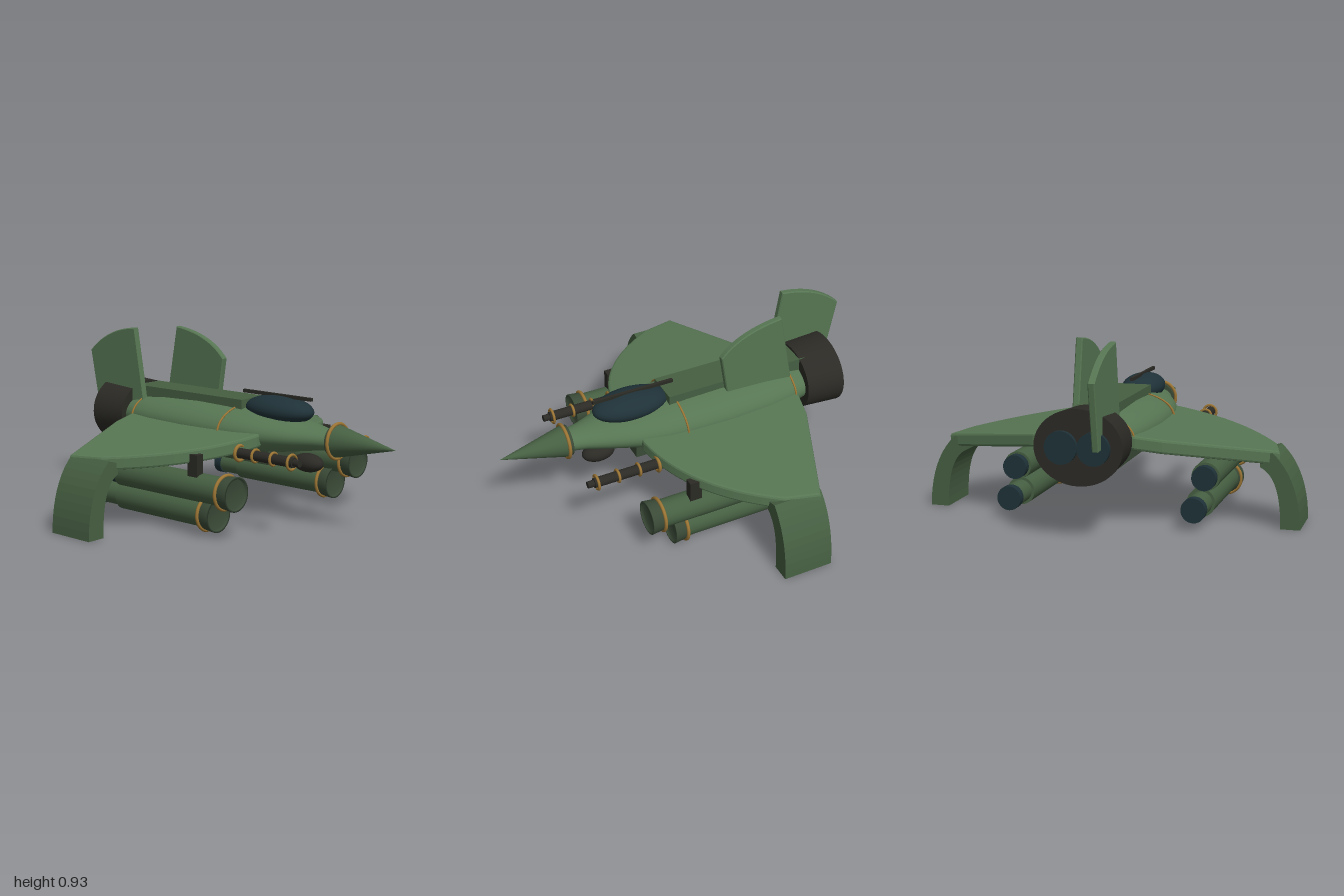
import * as THREE from 'three';

const mat = (color) => new THREE.MeshStandardMaterial({ color, side: THREE.DoubleSide });
const green = mat(0x567552), midGreen = mat(0x465f42), deepGreen = mat(0x3a4a37);
const dark = mat(0x2b2a25), gold = mat(0x9a7434), glass = mat(0x1f3238);

const AXIS = 0.455; // height of the fuselage centre line

export function createModel() {
  const model = new THREE.Group();

  const add = (name, geo, material, x = 0, y = 0, z = 0) => {
    const mesh = new THREE.Mesh(geo, material);
    mesh.name = name;
    mesh.position.set(x, y, z);
    model.add(mesh);
    return mesh;
  };
  // Box given by its ranges on each axis
  const box = (name, m, x0, x1, y0, y1, z0, z1) =>
    add(name, new THREE.BoxGeometry(x1 - x0, y1 - y0, z1 - z0), m, (x0 + x1) / 2, (y0 + y1) / 2, (z0 + z1) / 2);
  // Cylinder lying along z, from zFront (radius rf) to zBack (radius rb)
  const rod = (name, m, x, y, zFront, zBack, rf, rb = rf, seg = 32) =>
    add(name, new THREE.CylinderGeometry(rf, rb, zFront - zBack, seg).rotateX(Math.PI / 2), m, x, y, (zFront + zBack) / 2);
  const ring = (name, x, y, z, r, tube) => add(name, new THREE.TorusGeometry(r, tube, 10, 40), gold, x, y, z);
  const ball = (name, m, x, y, z, rx, ry, rz) =>
    add(name, new THREE.SphereGeometry(1, 32, 20).scale(rx, ry, rz), m, x, y, z);

  // Fuselage: elliptical sections [z, half width, half height]
  const sections = [
    [-0.7, 0.165, 0.1], [-0.6, 0.19, 0.11], [-0.45, 0.215, 0.121], [-0.2, 0.23, 0.128], [0.0, 0.225, 0.123],
    [0.15, 0.215, 0.115], [0.3, 0.185, 0.1], [0.45, 0.132, 0.076], [0.56, 0.088, 0.058], [0.65, 0.065, 0.05],
  ];
  const n = sections.length - 1;
  const hull = new THREE.CylinderGeometry(1, 1, n, 48, n).rotateX(Math.PI / 2);
  const p = hull.attributes.position;
  for (let i = 0; i < p.count; i++) {
    const [z, w, h] = sections[Math.round(p.getZ(i) + n / 2)];
    p.setXYZ(i, p.getX(i) * w, p.getY(i) * h, z);
  }
  hull.computeVertexNormals();
  add('fuselage', hull, green, 0, AXIS, 0);

  box('spine', midGreen, -0.09, 0.09, 0.45, 0.612, -0.7, 0.1);
  box('belly', deepGreen, -0.11, 0.11, 0.3, 0.4, -0.69, 0.3);
  ball('chinPod', dark, 0, 0.32, 0.47, 0.055, 0.048, 0.09);

  // Nose
  rod('noseBase', deepGreen, 0, AXIS, 0.66, 0.63, 0.08);
  rod('noseCone', midGreen, 0, AXIS, 1.0, 0.655, 0.001, 0.083, 40);
  ring('noseRing', 0, AXIS, 0.655, 0.088, 0.009);

  // Bands around the fuselage
  ring('frontBand', 0, AXIS, 0.055, 1, 0.03).scale.set(0.228, 0.123, 0.17);
  ring('rearBand', 0, AXIS, -0.6, 1, 0.03).scale.set(0.194, 0.112, 0.17);

  // Cockpit
  ball('canopy', glass, 0, 0.573, 0.28, 0.11, 0.072, 0.21);
  box('canopyFrame', dark, -0.008, 0.008, 0.636, 0.653, 0.04, 0.49);

  // Engine
  rod('engineShroud', dark, 0, AXIS, -0.67, -0.88, 0.172, 0.184, 48).scale.x = 1.19;
  for (const s of [-1, 1]) rod('exhaust', glass, s * 0.08, AXIS, -0.85, -0.902, 0.08);

  // Staggered tail fins, drawn as (z, y) outlines
  const fin = (name, x, draw) => {
    const shape = new THREE.Shape();
    draw(shape);
    const geo = new THREE.ExtrudeGeometry(shape, {
      depth: 0.025, bevelThickness: 0.005, bevelSize: 0.005, bevelOffset: -0.005, bevelSegments: 1, curveSegments: 14,
    });
    add(name, geo.rotateY(-Math.PI / 2).translate(0.0125, 0, 0), green, x, 0, 0);
  };
  fin('leftFin', 0.103, (f) => {
    f.moveTo(-0.23, 0.5).lineTo(-0.185, 0.78);
    f.quadraticCurveTo(-0.29, 0.905, -0.53, 0.93);
    f.lineTo(-0.61, 0.5);
  });
  fin('rightFin', -0.103, (f) => {
    f.moveTo(-0.57, 0.45).lineTo(-0.65, 0.93);
    f.quadraticCurveTo(-0.86, 0.915, -1.0, 0.78);
    f.lineTo(-0.935, 0.45);
  });

  for (const s of [1, -1]) {
    const side = s > 0 ? 'left' : 'right';

    // Wing: plan outline extruded, then sheared down towards the tip
    const plan = new THREE.Shape();
    plan.moveTo(s * 0.17, 0.3).lineTo(s * 0.2, 0.3);
    plan.bezierCurveTo(s * 0.46, 0.25, s * 0.66, 0.09, s * 0.82, -0.18);
    plan.lineTo(s * 0.865, -0.36).lineTo(s * 0.33, -0.585).lineTo(s * 0.2, -0.612).lineTo(s * 0.17, -0.612);
    const wing = new THREE.ExtrudeGeometry(plan, {
      depth: 0.046, bevelThickness: 0.012, bevelSize: 0.012, bevelOffset: -0.012, bevelSegments: 2, curveSegments: 24,
    }).rotateX(Math.PI / 2);
    const w = wing.attributes.position;
    for (let i = 0; i < w.count; i++) w.setY(i, w.getY(i) + 0.458 - 0.13 * (Math.abs(w.getX(i)) - 0.2));
    wing.computeVertexNormals();
    add(side + 'Wing', wing, green);

    // Downturned wing tip
    const tip = new THREE.Shape();
    tip.moveTo(s * 0.83, 0.378);
    tip.bezierCurveTo(s * 0.93, 0.29, s * 0.97, 0.15, s * 0.973, 0);
    tip.lineTo(s * 0.875, 0);
    tip.bezierCurveTo(s * 0.875, 0.15, s * 0.85, 0.27, s * 0.77, 0.305);
    tip.lineTo(s * 0.77, 0.36);
    const tipGeo = new THREE.ExtrudeGeometry(tip, { depth: 0.265, bevelEnabled: false, curveSegments: 10 });
    add(side + 'WingTip', tipGeo, midGreen, 0, 0, -0.38);

    // Pylon
    box(side + 'Pylon', dark, s * 0.515 - 0.022, s * 0.515 + 0.022, 0.29, 0.405, 0.135, 0.2);

    // Launch tubes: body, flared mouth with recessed cover, ring and exhaust
    const tube = (x, y, front, tailFrom, back) => {
      rod('launchTube', midGreen, x, y, front - 0.05, tailFrom, 0.072);
      const mouth = new THREE.LatheGeometry(
        [[0.07, -0.08], [0.08, -0.075], [0.088, 0], [0.077, 0], [0.075, -0.018], [0, -0.018]]
          .map(([r, z]) => new THREE.Vector2(r, z)), 40);
      add('launchTubeMouth', mouth.rotateX(Math.PI / 2), deepGreen, x, y, front);
      ring('launchTubeRing', x, y, front - 0.066, 0.085, 0.009);
      rod('launchTubeTail', midGreen, x, y, tailFrom + 0.01, back + 0.04, 0.058);
      rod('launchTubeExhaust', glass, x, y, back + 0.045, back, 0.062);
    };
    tube(s * 0.495, 0.235, 0.42, -0.36, -0.41);
    tube(s * 0.475, 0.105, 0.285, -0.37, -0.547);

    // Cannon under the wing root
    const gx = s * 0.3, gy = 0.39;
    rod('cannonHousing', midGreen, gx, gy, 0.27, -0.05, 0.034);
    rod('cannonBarrel', dark, gx, gy, 0.62, 0.25, 0.026);
    rod('cannonMuzzle', dark, gx, gy, 0.655, 0.6, 0.018);
    ring('cannonCollar', gx, gy, 0.272, 0.038, 0.009);
    [0.605, 0.49, 0.375].forEach((z, i) => ring('cannonRing', gx, gy, z, i ? 0.031 : 0.037, 0.007));
  }

  return model;
}
